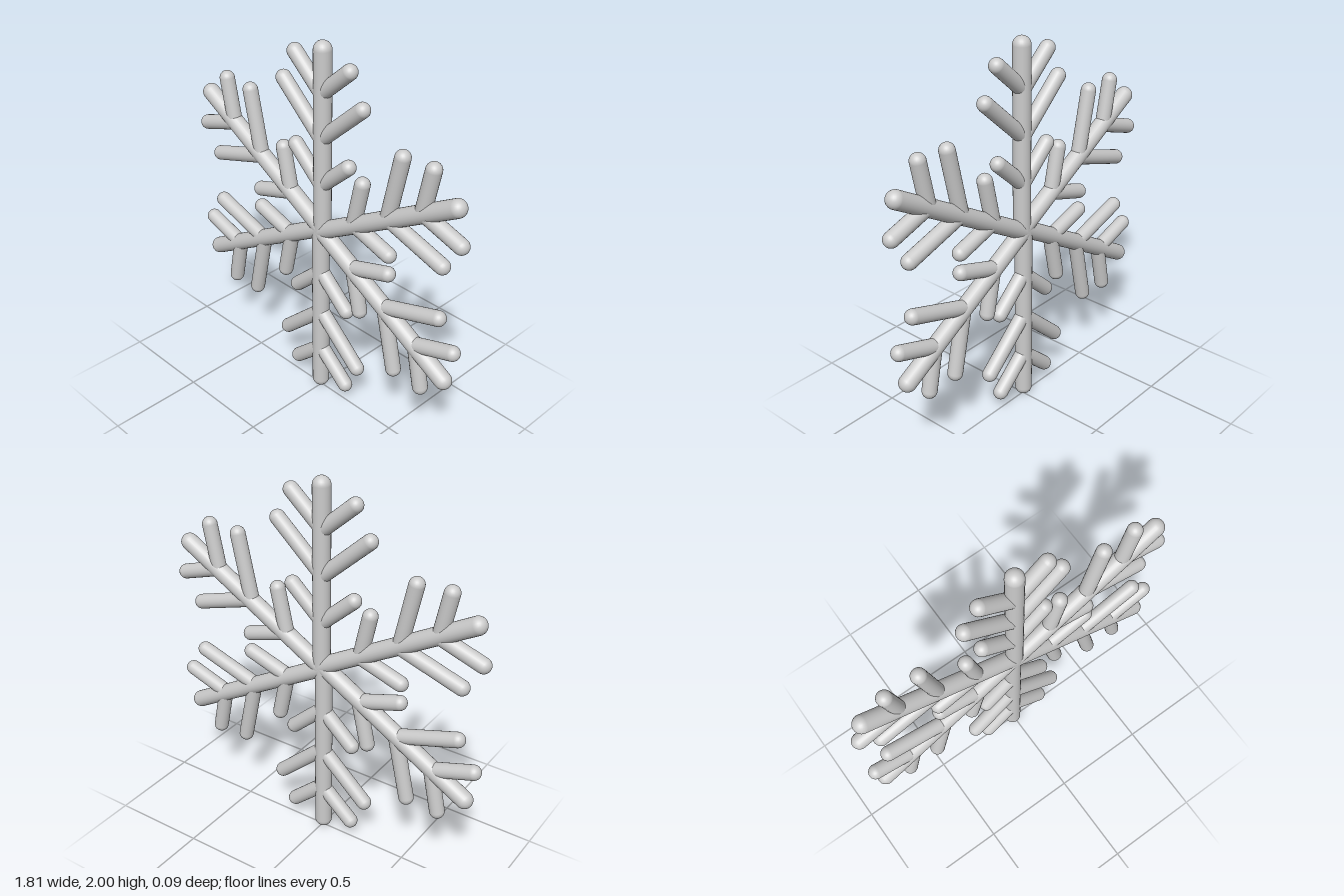
import * as THREE from 'three';

const material = new THREE.MeshStandardMaterial({ color: 0xcccccc });

// Round-ended rod in the xy plane; a and b are the centres of its end caps
function rod(name, a, b, radius) {
  const start = new THREE.Vector3(a[0], a[1], 0);
  const end = new THREE.Vector3(b[0], b[1], 0);
  const dir = end.clone().sub(start);
  const mesh = new THREE.Mesh(new THREE.CapsuleGeometry(radius, dir.length(), 8, 24), material);
  mesh.name = name;
  mesh.position.copy(start).add(end).multiplyScalar(0.5);
  mesh.quaternion.setFromUnitVectors(new THREE.Vector3(0, 1, 0), dir.normalize());
  return mesh;
}

// One arm pointing up: a stem with three pairs of side twigs
function createArm() {
  const arm = new THREE.Group();
  const offset = 0.006; // slight pinwheel shift of the stem
  arm.add(rod('stem', [offset, 0], [offset, 0.953], 0.045));
  const twigs = [
    ['inner', 0.253, 0.178, 0.415],
    ['middle', 0.502, 0.26, 0.738],
    ['outer', 0.738, 0.178, 0.896],
  ];
  for (const [label, root, tipX, tipY] of twigs) {
    for (const side of [-1, 1]) {
      const name = label + (side > 0 ? 'LeftTwig' : 'RightTwig');
      arm.add(rod(name, [0, root], [side * tipX, tipY], 0.039));
    }
  }
  return arm;
}

export function createModel() {
  const model = new THREE.Group();
  model.name = 'snowflake';
  // Six arms around the centre
  for (let i = 0; i < 6; i++) {
    const arm = createArm();
    arm.name = 'arm' + (i + 1);
    arm.position.y = 1;
    arm.rotation.z = (i * Math.PI) / 3;
    model.add(arm);
  }
  return model;
}
